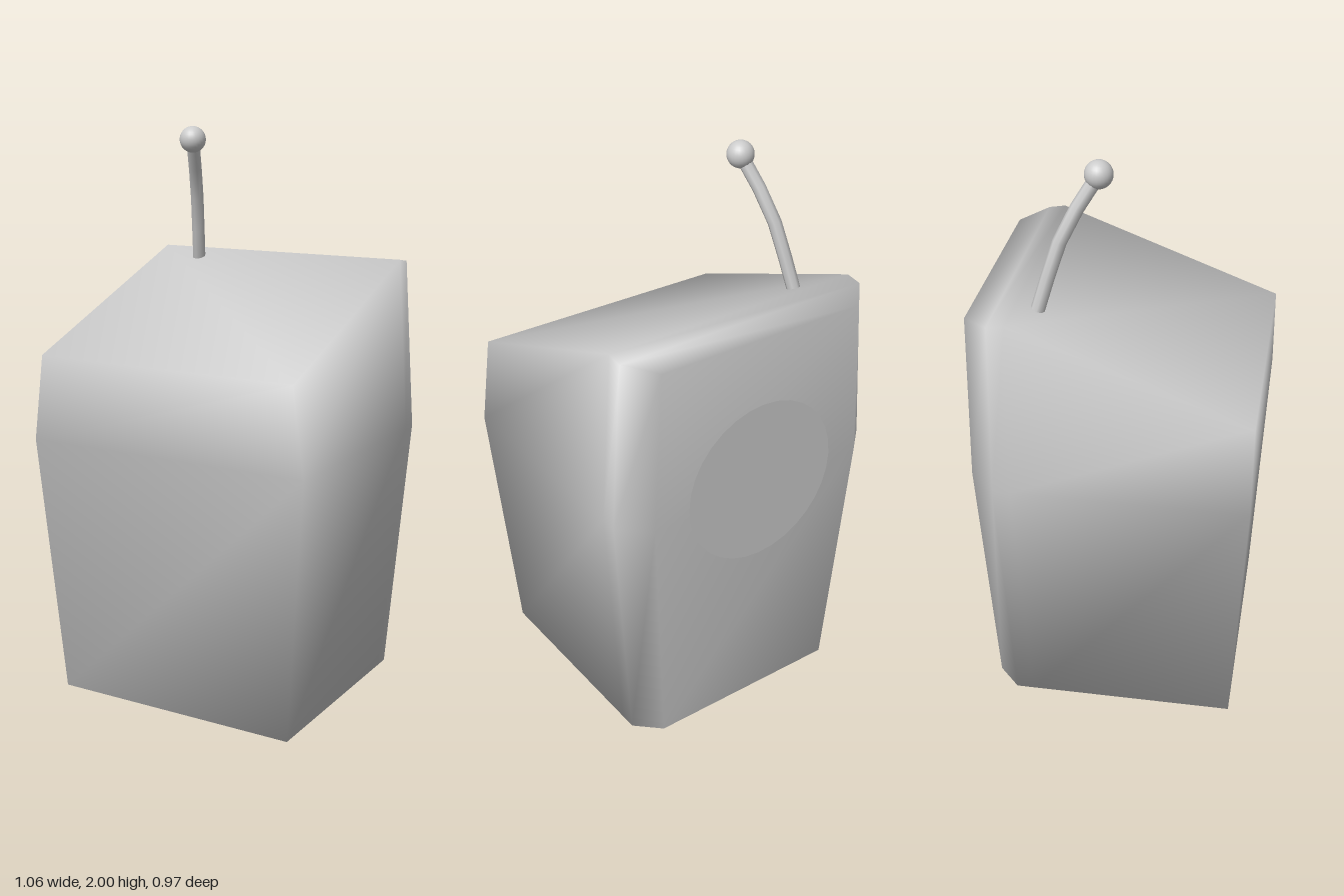
import * as THREE from 'three';

const material = new THREE.MeshStandardMaterial({ color: 0xcccccc });

// Half outline of one body level, front to back: [x, y, z]
const levels = [
  [[0.455, 0, 0.44], [0.455, 0, -0.29], [0.455, 0, -0.35], [0.37, 0, -0.43]],
  [[0.53, 0.93, 0.485], [0.53, 0.93, -0.32], [0.53, 0.93, -0.38], [0.43, 0.93, -0.475]],
  [[0.49, 1.235, 0.485], [0.49, 1.54, -0.32], [0.49, 1.53, -0.38], [0.4, 1.51, -0.475]],
];

// Loft of mirrored level outlines, with shared vertices for soft shading
function bodyGeometry() {
  const positions = [], index = [], n = 8;
  for (const half of levels) {
    const mirrored = half.map(([x, y, z]) => [-x, y, z]).reverse();
    for (const p of [...half, ...mirrored]) positions.push(...p);
  }
  for (let level = 0; level < levels.length - 1; level++) {
    for (let i = 0; i < n; i++) {
      const a = level * n + i, b = level * n + (i + 1) % n;
      index.push(a, b, b + n, a, b + n, a + n);
    }
  }
  // Caps: strips between each mirrored pair of points
  const top = (levels.length - 1) * n;
  for (let i = 0; i < 3; i++) {
    const j = n - 1 - i;
    index.push(i, j, j - 1, i, j - 1, i + 1);
    index.push(top + i, top + i + 1, top + j - 1, top + i, top + j - 1, top + j);
  }
  const geometry = new THREE.BufferGeometry();
  geometry.setAttribute('position', new THREE.Float32BufferAttribute(positions, 3));
  geometry.setIndex(index);
  geometry.computeVertexNormals();
  return geometry;
}

export function createModel() {
  const model = new THREE.Group();
  model.name = 'model';
  const add = (name, geometry, mat = material) => {
    const mesh = new THREE.Mesh(geometry, mat);
    mesh.name = name;
    model.add(mesh);
    return mesh;
  };

  add('body', bodyGeometry());

  // Round plate on the back
  const plate = add('backPlate', new THREE.CircleGeometry(0.3, 32));
  plate.position.set(0, 0.97, -0.485);
  plate.rotation.y = Math.PI;

  // Bent antenna with a ball tip
  const tip = new THREE.Vector3(-0.212, 1.955, -0.062);
  const path = new THREE.CatmullRomCurve3([
    new THREE.Vector3(-0.307, 1.5, -0.256),
    new THREE.Vector3(-0.263, 1.77, -0.17),
    tip,
  ]);
  const openMaterial = new THREE.MeshStandardMaterial({ color: 0xcccccc, side: THREE.DoubleSide });
  add('antennaStem', new THREE.TubeGeometry(path, 4, 0.024, 8), openMaterial);
  add('antennaBall', new THREE.SphereGeometry(0.047, 24, 16)).position.copy(tip);

  return model;
}
